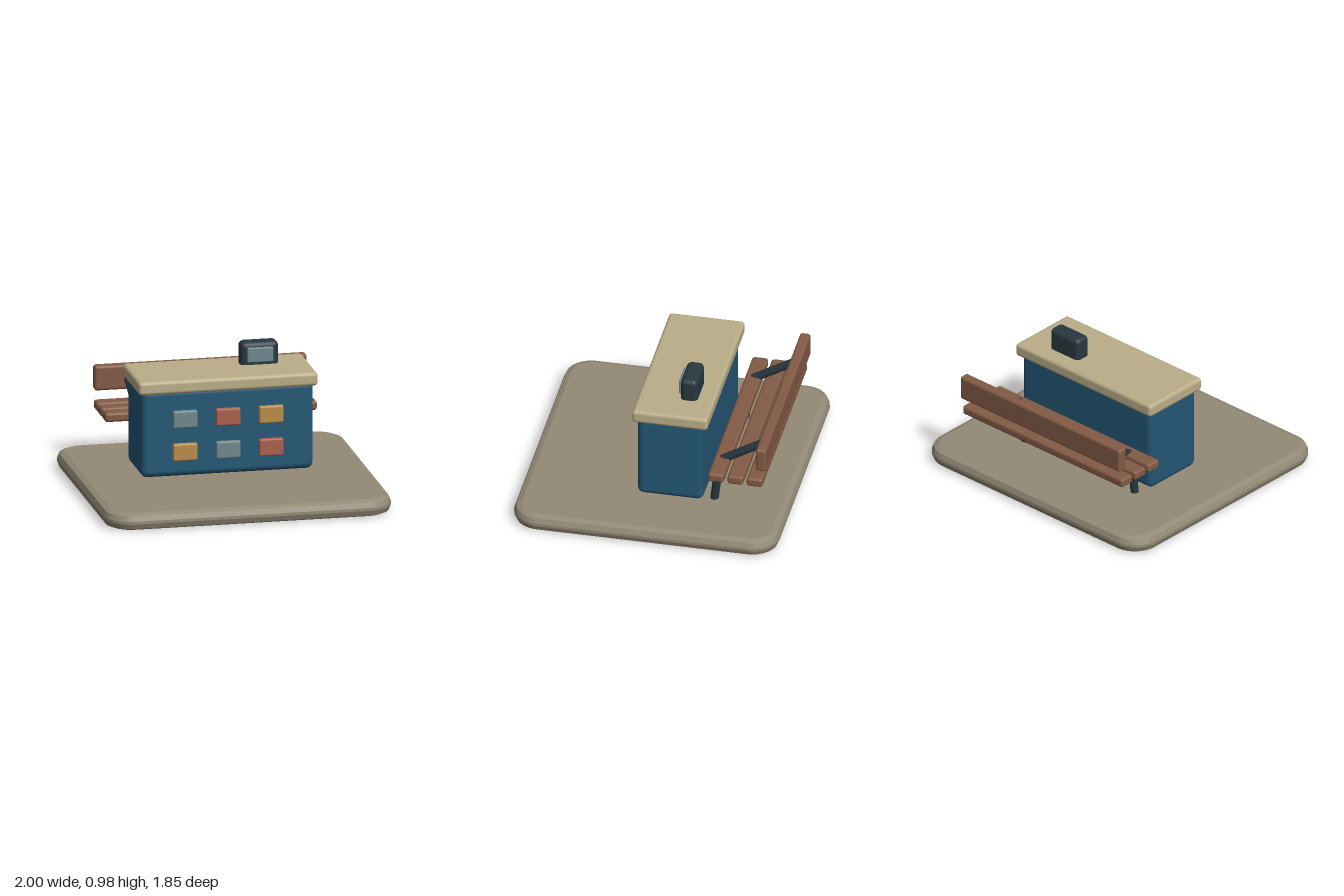
import * as THREE from 'three';
import { RoundedBoxGeometry } from 'three/addons/geometries/RoundedBoxGeometry.js';

const material = (name, color) => {
  const m = new THREE.MeshStandardMaterial({ color });
  m.name = name;
  return m;
};

export function createModel() {
  const stone = material('stone', 0x938a76);
  const blue = material('blue paint', 0x245775);
  const cream = material('cream', 0xbaad88);
  const wood = material('wood', 0x835b46);
  const iron = material('dark iron', 0x283840);
  const grey = material('grey glass', 0x6f898d);
  const red = material('brick red', 0xa9614f);
  const ochre = material('ochre', 0xb98e4a);

  const model = new THREE.Group();
  model.name = 'kiosk with bench';

  const add = (parent, name, geometry, mat) => {
    const mesh = new THREE.Mesh(geometry, mat);
    mesh.name = name;
    parent.add(mesh);
    return mesh;
  };
  const group = (name) => {
    const g = new THREE.Group();
    g.name = name;
    model.add(g);
    return g;
  };
  // Rounded box given by its [min, max] extents on each axis
  const box = (parent, name, [x0, x1], [y0, y1], [z0, z1], radius, mat) => {
    const geometry = new RoundedBoxGeometry(x1 - x0, y1 - y0, z1 - z0, 3, radius);
    add(parent, name, geometry, mat).position.set((x0 + x1) / 2, (y0 + y1) / 2, (z0 + z1) / 2);
  };
  // Round bar between two points
  const bar = (parent, name, from, to, radius, mat) => {
    const a = new THREE.Vector3(...from);
    const b = new THREE.Vector3(...to);
    const dir = b.clone().sub(a);
    const mesh = add(parent, name, new THREE.CylinderGeometry(radius, radius, dir.length(), 12), mat);
    mesh.position.copy(a).add(b).multiplyScalar(0.5);
    mesh.quaternion.setFromUnitVectors(new THREE.Vector3(0, 1, 0), dir.normalize());
  };

  // Paved base: rounded rectangle with bevelled rim
  const bevel = 0.05, w = 1 - bevel, d = 0.923 - bevel, r = 0.14;
  const outline = new THREE.Shape();
  outline.moveTo(-w + r, -d);
  outline.lineTo(w - r, -d);
  outline.absarc(w - r, -d + r, r, -Math.PI / 2, 0);
  outline.absarc(w - r, d - r, r, 0, Math.PI / 2);
  outline.absarc(-w + r, d - r, r, Math.PI / 2, Math.PI);
  outline.absarc(-w + r, -d + r, r, Math.PI, Math.PI * 1.5);
  const slab = new THREE.ExtrudeGeometry(outline, {
    depth: 0.02, bevelEnabled: true, bevelSize: bevel, bevelThickness: bevel,
    bevelSegments: 2, curveSegments: 5,
  });
  slab.rotateX(-Math.PI / 2).translate(0, bevel, 0);
  add(model, 'base', slab, stone);

  // Counter body and top
  const counter = group('counter');
  box(counter, 'counterBody', [-0.6, 0.6], [0.14, 0.76], [-0.342, 0.118], 0.045, blue);
  box(counter, 'counterTop', [-0.625, 0.625], [0.733, 0.827], [-0.378, 0.149], 0.025, cream);

  // Two rows of coloured tiles on the front
  const rows = [[0.55, [grey, red, ochre]], [0.318, [ochre, grey, red]]];
  for (const [y, colours] of rows) {
    colours.forEach((mat, i) => {
      const x = (i - 1) * 0.3;
      box(counter, 'frontTile', [x - 0.085, x + 0.085], [y - 0.06, y + 0.06], [0.095, 0.151], 0.012, mat);
    });
  }

  // Till with a small screen
  const till = group('till');
  box(till, 'tillBody', [0.15, 0.415], [0.79, 0.983], [-0.262, -0.143], 0.035, iron);
  box(till, 'tillScreen', [0.193, 0.373], [0.847, 0.95], [-0.165, -0.126], 0.008, grey);

  // Bench: slats, backrest, and mirrored iron supports
  const bench = group('bench');
  for (const z of [-0.461, -0.596, -0.73]) {
    box(bench, 'seatSlat', [-0.74, 0.74], [0.402, 0.468], [z - 0.056, z + 0.056], 0.02, wood);
  }
  box(bench, 'backrest', [-0.74, 0.74], [0.535, 0.71], [-0.811, -0.738], 0.02, wood);
  for (const x of [-0.505, 0.505]) {
    bar(bench, 'leg', [x, 0.11, -0.403], [x, 0.44, -0.44], 0.029, iron);
    bar(bench, 'backSupport', [x, 0.434, -0.44], [x, 0.632, -0.77], 0.029, iron);
  }

  return model;
}
